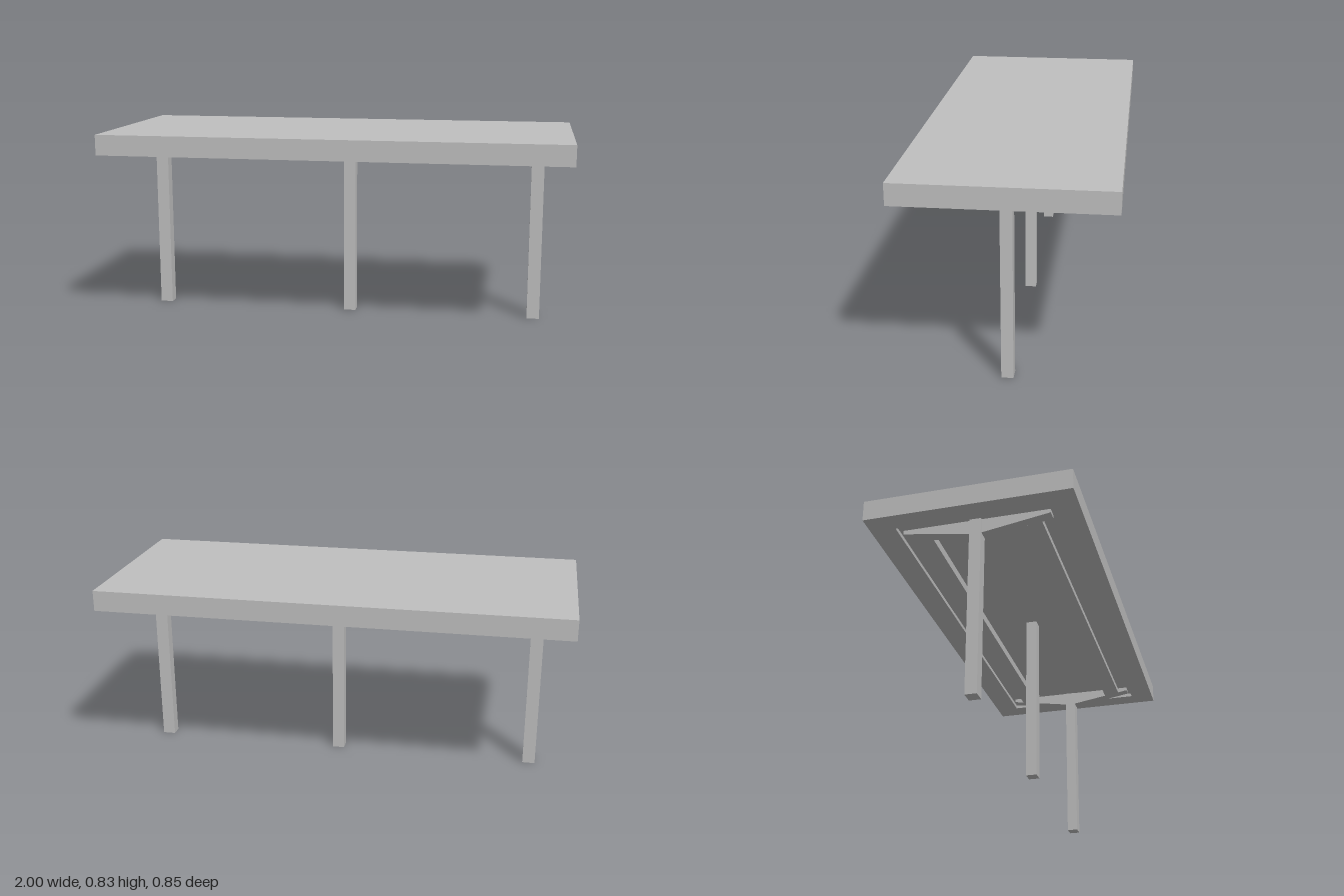
import * as THREE from 'three';

const CEILING = 0.762;    // roof of the recess under the top
const UNDERSIDE = 0.745;  // bottom of the rim

function rect(shape, hx, hz) {
  shape.moveTo(-hx, -hz);
  shape.lineTo(hx, -hz);
  shape.lineTo(hx, hz);
  shape.lineTo(-hx, hz);
  shape.closePath();
  return shape;
}

export function createModel() {
  const model = new THREE.Group();
  model.name = 'table';

  const grey = new THREE.MeshStandardMaterial({ color: 0xbfbfbf });
  grey.name = 'plain grey';

  function add(name, geometry, x = 0, y = 0, z = 0) {
    const mesh = new THREE.Mesh(geometry, grey);
    mesh.name = name;
    mesh.position.set(x, y, z);
    model.add(mesh);
    return mesh;
  }

  // Extrudes a (z, y) outline along x from x0 to x1
  function addAlongX(name, points, x0, x1) {
    const shape = new THREE.Shape(points.map(([z, y]) => new THREE.Vector2(-z, y)));
    const geometry = new THREE.ExtrudeGeometry(shape, { depth: x1 - x0, bevelEnabled: false });
    geometry.rotateY(Math.PI / 2);
    add(name, geometry, x0);
  }

  // Table top: solid slab above a rim that frames a shallow recess
  add('tableTop', new THREE.BoxGeometry(2, 0.833 - CEILING, 0.85), 0, (0.833 + CEILING) / 2, 0);
  const rim = rect(new THREE.Shape(), 1, 0.425);
  rim.holes.push(rect(new THREE.Path(), 0.912, 0.32));
  const rimGeometry = new THREE.ExtrudeGeometry(rim, { depth: CEILING - UNDERSIDE, bevelEnabled: false });
  rimGeometry.rotateX(-Math.PI / 2);
  add('topRim', rimGeometry, 0, UNDERSIDE, 0);

  // Legs in a row along the middle
  const legs = [['rightLeg', -0.875, -0.82], ['middleLeg', 0.003, 0.055], ['leftLeg', 0.83, 0.885]];
  for (const [name, x0, x1] of legs) {
    add(name, new THREE.BoxGeometry(x1 - x0, CEILING, 0.048), (x0 + x1) / 2, CEILING / 2, 0);
  }

  // Tapered cross brackets over the end legs
  const bracket = [
    [-0.305, CEILING], [-0.305, 0.746], [-0.024, 0.70],
    [0.024, 0.70], [0.305, 0.746], [0.305, CEILING],
  ];
  addAlongX('rightBracket', bracket, -0.866, -0.822);
  addAlongX('leftBracket', bracket, 0.832, 0.876);

  // Long rails between the brackets, their undersides following the taper
  for (const side of [-1, 1]) {
    const rail = [[0.19, CEILING], [0.19, 0.727], [0.26, 0.7386], [0.26, CEILING]];
    addAlongX(side > 0 ? 'frontRail' : 'backRail', rail.map(([z, y]) => [z * side, y]), -0.824, 0.834);
  }

  return model;
}
